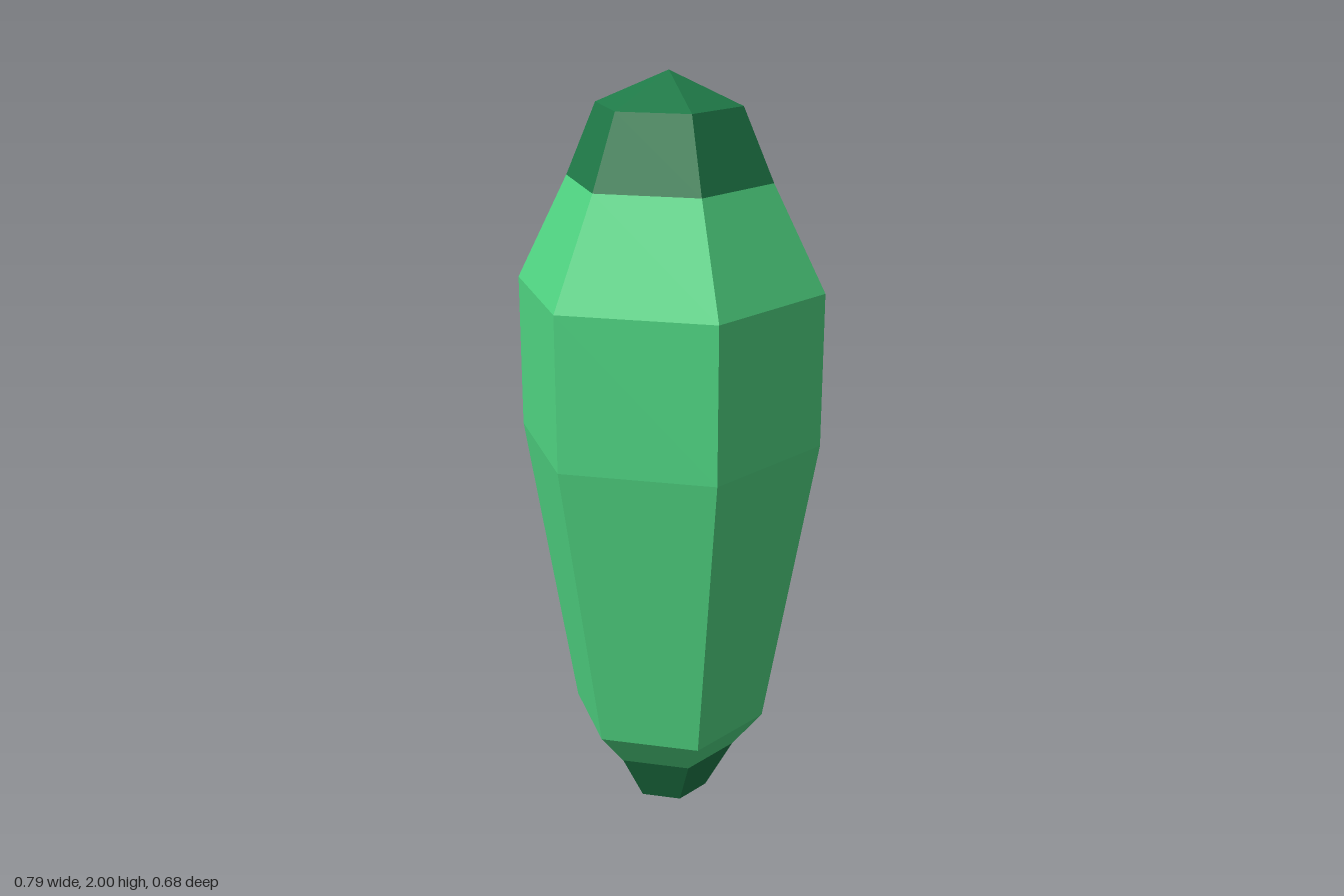
import * as THREE from 'three';

// Faceted six-sided band from [radius, height] pairs listed bottom to top
function hexBand(name, profile, color) {
  const points = profile.map(([r, y]) => new THREE.Vector2(r, y));
  const geometry = new THREE.LatheGeometry(points, 6, Math.PI / 2);
  const material = new THREE.MeshStandardMaterial({ color, flatShading: true });
  const mesh = new THREE.Mesh(geometry, material);
  mesh.name = name;
  return mesh;
}

export function createModel() {
  const group = new THREE.Group();
  group.name = 'crystal';
  const light = 0x50d683;
  const dark = 0x1f7a48;

  // Dark lower tip
  group.add(hexBand('lowerTip', [[0, 0], [0.105, 0.05], [0.18, 0.19]], dark));

  // Bright tapering body
  group.add(hexBand('body', [
    [0.18, 0.19], [0.26, 0.29], [0.393, 1.08], [0.393, 1.475], [0.26, 1.74],
  ], light));

  // Dark upper cap
  group.add(hexBand('upperCap', [[0.26, 1.74], [0.183, 1.92], [0, 2]], dark));

  return group;
}
